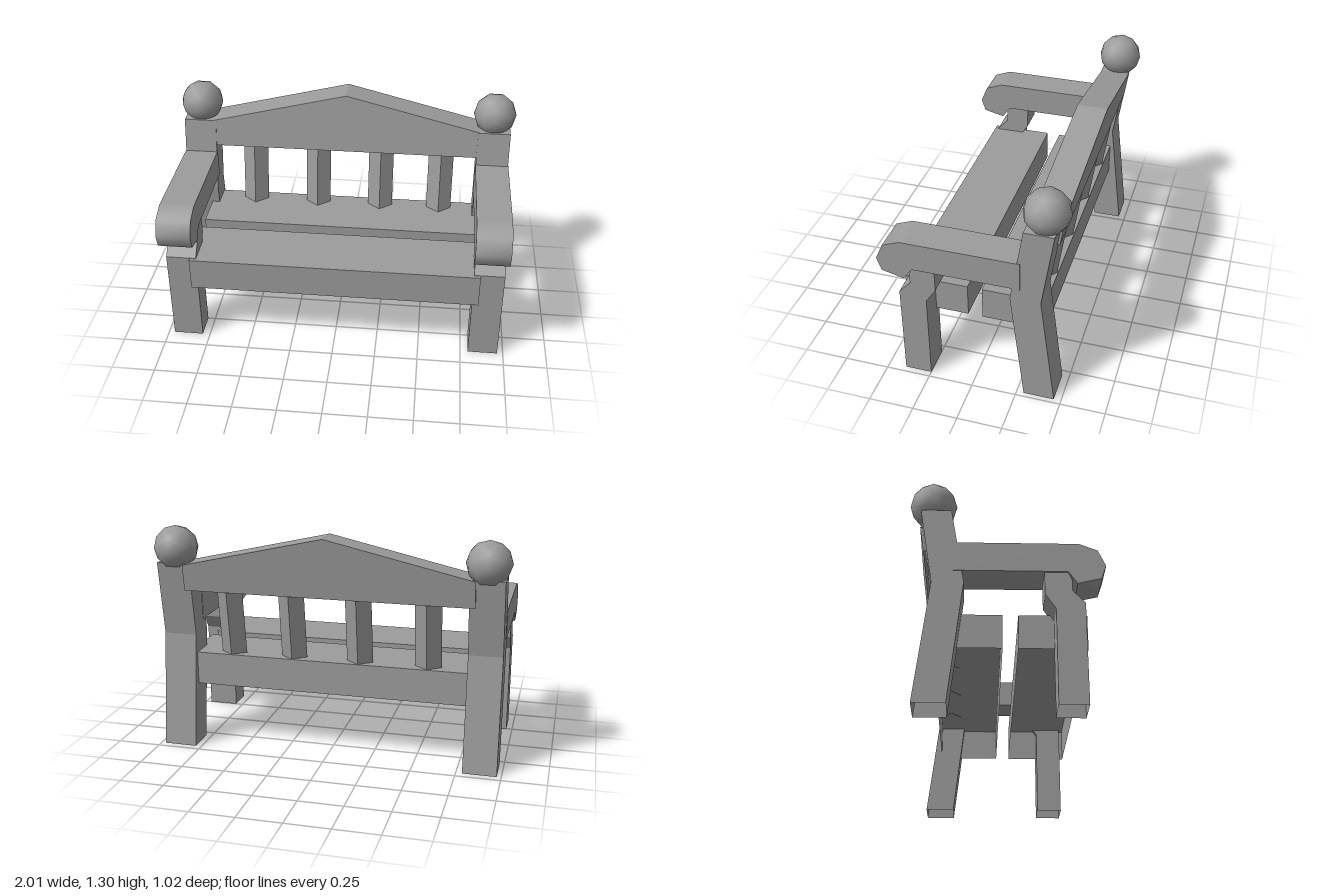
import * as THREE from 'three';
import { toCreasedNormals } from 'three/addons/utils/BufferGeometryUtils.js';

const material = new THREE.MeshStandardMaterial({ color: 0x9c9c9c, side: THREE.DoubleSide });

const LEAN = 0.147; // backward lean of the backrest, z per unit of y

// Extrude a (z, y) side profile along x, centred on x = 0
function sideProfile(points, width) {
  const shape = new THREE.Shape(points.map(([z, y]) => new THREE.Vector2(z, y)));
  const geo = new THREE.ExtrudeGeometry(shape, { depth: width, bevelEnabled: false });
  return geo.translate(0, 0, -width / 2).rotateY(-Math.PI / 2);
}

// Remove the lowest flat faces, leaving a part hollow from below
function openBottom(geo) {
  const p = geo.attributes.position;
  geo.computeBoundingBox();
  const limit = geo.boundingBox.min.y + 0.001;
  const kept = [];
  for (let i = 0; i < p.count; i += 3) {
    if (Math.max(p.getY(i), p.getY(i + 1), p.getY(i + 2)) < limit) continue;
    for (let k = i; k < i + 3; k++) kept.push(p.getX(k), p.getY(k), p.getZ(k));
  }
  const out = new THREE.BufferGeometry();
  out.setAttribute('position', new THREE.Float32BufferAttribute(kept, 3));
  out.computeVertexNormals();
  return out;
}

// Shear a geometry backward with height
function leanBack(geo, y0) {
  const p = geo.attributes.position;
  for (let i = 0; i < p.count; i++) p.setZ(i, p.getZ(i) - LEAN * (p.getY(i) - y0));
  const out = geo.index ? geo.toNonIndexed() : geo;
  out.computeVertexNormals();
  return out;
}

export function createModel() {
  const model = new THREE.Group();
  const add = (name, geo, x = 0, y = 0, z = 0) => {
    const mesh = new THREE.Mesh(geo, material);
    mesh.name = name;
    mesh.position.set(x, y, z);
    model.add(mesh);
  };

  // Side frames: bent posts, kinked front legs, rounded armrests, ball finials
  const post = openBottom(sideProfile([
    [-0.29, 0], [-0.215, 0.66], [-0.285, 1.09], [-0.445, 1.09], [-0.38, 0.66], [-0.46, 0],
  ], 0.19));
  const frontLeg = openBottom(sideProfile([
    [0.25, 0], [0.4, 0], [0.4, 0.555], [0.335, 0.625], [0.335, 0.69], [0.315, 0.73],
    [0.195, 0.73], [0.195, 0.605], [0.25, 0.52],
  ], 0.172));
  const armrest = toCreasedNormals(sideProfile([
    [-0.27, 0.893], [0.35, 0.893], [0.375, 0.893], [0.47, 0.855], [0.51, 0.765],
    [0.485, 0.69], [0.362, 0.66], [0.315, 0.728], [-0.27, 0.728],
  ], 0.195), 1.1);
  const finial = new THREE.IcosahedronGeometry(0.125, 1);

  for (const [side, s] of [['left', 1], ['right', -1]]) {
    add(side + 'BackPost', post, s * 0.88);
    add(side + 'FrontLeg', frontLeg, s * 0.88);
    add(side + 'Armrest', armrest, s * 0.88);
    add(side + 'Finial', finial, s * 0.88, 1.172, -0.383);
  }

  // Seat planks, hollow underneath
  const plank = openBottom(new THREE.BoxGeometry(1.66, 0.19, 0.355).toNonIndexed());
  add('frontSeatPlank', plank, 0, 0.457, 0.243);
  add('backSeatPlank', plank, 0, 0.457, -0.193);

  // Gabled top rail, leaning with the posts
  const gable = new THREE.Shape([
    [-0.82, 0.935], [0.82, 0.935], [0.82, 1.085], [0, 1.277], [-0.82, 1.085],
  ].map(([x, y]) => new THREE.Vector2(x, y)));
  const rail = new THREE.ExtrudeGeometry(gable, { depth: 0.17, bevelEnabled: false });
  rail.translate(0, 0, -0.435);
  add('topRail', leanBack(rail, 0.935));

  // Diamond-section backrest slats
  for (const x of [-0.56, -0.17, 0.215, 0.578]) {
    const slat = new THREE.CylinderGeometry(0.075, 0.075, 0.4, 4);
    slat.scale(1, 1, 0.8).translate(0, 0.75, -0.305);
    add('backSlat', leanBack(slat, 0.55), x);
  }
  return model;
}
